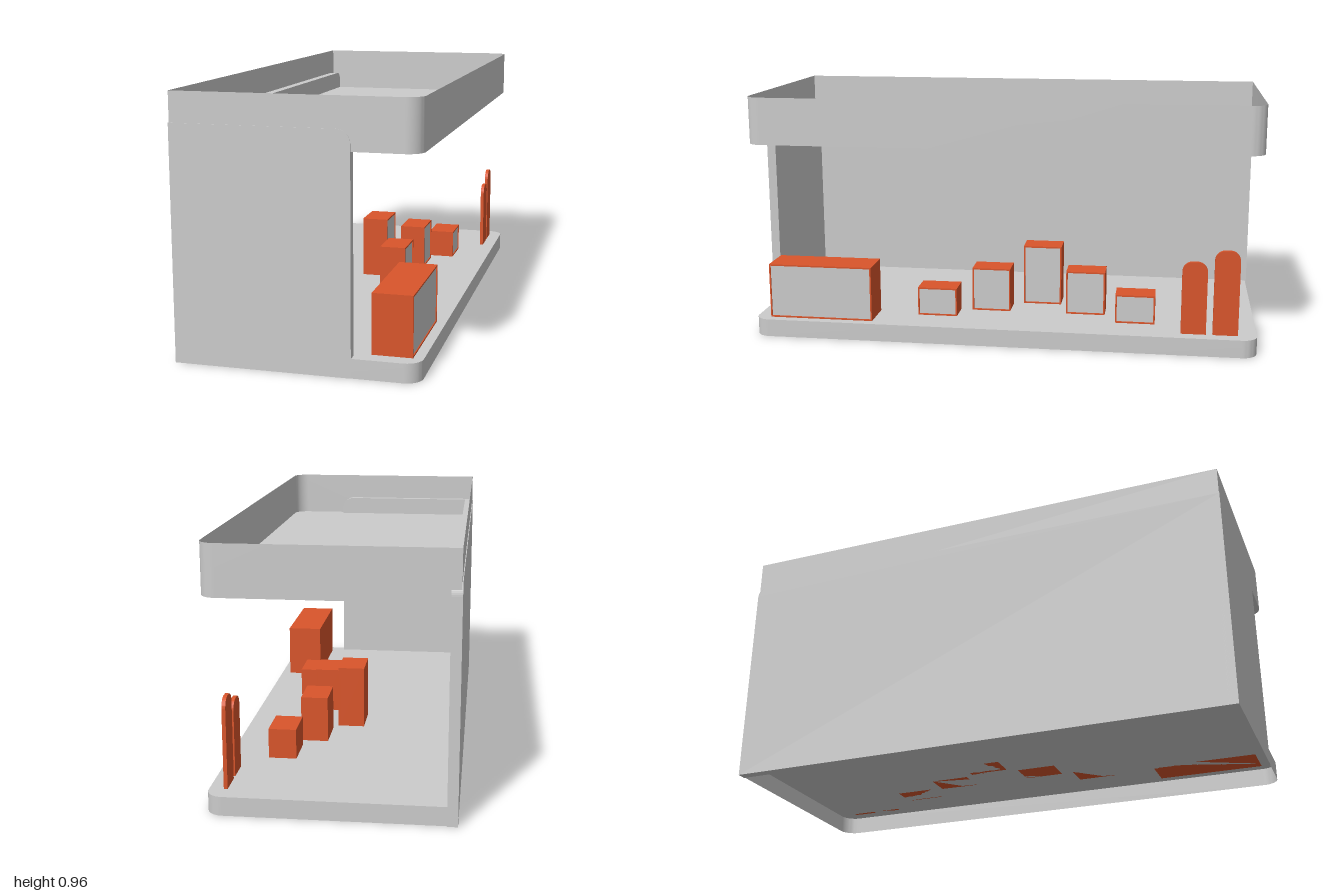
import * as THREE from 'three';
import { toCreasedNormals } from 'three/addons/utils/BufferGeometryUtils.js';

const grey = new THREE.MeshStandardMaterial({ color: 0xcccccc });
const sheet = new THREE.MeshStandardMaterial({ color: 0xcccccc, side: THREE.DoubleSide });
const orange = new THREE.MeshStandardMaterial({ color: 0xd9552b });

const FLOOR = 0.07, ROOF = 0.78, TOP = 0.965, PANEL_TOP = 0.855;

function add(parent, name, geometry, material) {
  const mesh = new THREE.Mesh(geometry, material);
  mesh.name = name;
  parent.add(mesh);
  return mesh;
}

// Rectangle from (a0, b0) to (a1, b1); radii for the corners in the order
// low-low, high-low, high-high, low-high
function rectShape(a0, b0, a1, b1, [r0, r1, r2, r3] = [0, 0, 0, 0]) {
  const s = new THREE.Shape();
  s.moveTo(a0 + r0, b0);
  s.lineTo(a1 - r1, b0);
  if (r1) s.absarc(a1 - r1, b0 + r1, r1, -Math.PI / 2, 0);
  s.lineTo(a1, b1 - r2);
  if (r2) s.absarc(a1 - r2, b1 - r2, r2, 0, Math.PI / 2);
  s.lineTo(a0 + r3, b1);
  if (r3) s.absarc(a0 + r3, b1 - r3, r3, Math.PI / 2, Math.PI);
  s.lineTo(a0, b0 + r0);
  if (r0) s.absarc(a0 + r0, b0 + r0, r0, Math.PI, Math.PI * 1.5);
  return s;
}

const extrude = (shape, depth) =>
  new THREE.ExtrudeGeometry(shape, { depth, bevelEnabled: false, curveSegments: 6 });

// Shape drawn in (z, y), extruded so that it spans x0..x1
const extrudeX = (shape, x0, x1) =>
  extrude(shape, x1 - x0).rotateY(-Math.PI / 2).translate(x1, 0, 0);

// Thin sheet at height ySheet with a thin wall round it from y0 to y1
function tray(name, ySheet, y0, y1) {
  const group = new THREE.Group();
  group.name = name;
  const outline = rectShape(-0.44, -0.998, 0.44, 0.995, [0, 0.06, 0.06, 0]);
  const plate = new THREE.ShapeGeometry(outline, 6).rotateX(-Math.PI / 2).translate(0, ySheet, 0);
  add(group, name + 'Plate', plate, sheet);

  const pts = outline.getPoints(6);
  const pos = [];
  pts.forEach((p, i) => {
    const q = pts[(i + 1) % pts.length];
    if (p.distanceTo(q) < 1e-6) return;
    const a = [p.x, y0, -p.y], b = [q.x, y0, -q.y];
    const c = [q.x, y1, -q.y], d = [p.x, y1, -p.y];
    pos.push(...a, ...b, ...c, ...a, ...c, ...d);
  });
  const wall = new THREE.BufferGeometry();
  wall.setAttribute('position', new THREE.Float32BufferAttribute(pos, 3));
  wall.computeVertexNormals();
  add(group, name + 'Rim', toCreasedNormals(wall, 0.5), sheet);
  return group;
}

// Orange block with a framed grey screen on its +x side
function displayBlock(x0, x1, z0, z1, top) {
  const group = new THREE.Group();
  group.name = 'displayBlock';
  const lip = 0.008, t = 0.006, h = top - FLOOR;
  const body = new THREE.BoxGeometry(x1 - x0 - lip, h, z1 - z0);
  body.translate((x0 + x1 - lip) / 2, FLOOR + h / 2, (z0 + z1) / 2);
  add(group, 'blockBody', body, orange);

  const frame = rectShape(z0, FLOOR, z1, top);
  frame.holes.push(rectShape(z0 + t, FLOOR + t, z1 - t, top - t));
  add(group, 'blockFrame', extrudeX(frame, x1 - lip, x1), orange);

  const screen = rectShape(z0 + t, FLOOR + t, z1 - t, top - t);
  add(group, 'blockScreen', extrudeX(screen, x1 - lip, x1 - lip / 2), grey);
  return group;
}

export function createModel() {
  const model = new THREE.Group();
  model.name = 'exhibitionStand';

  // Floor with a skirt below, roof with a parapet above
  model.add(tray('floor', FLOOR, 0, FLOOR));
  model.add(tray('roof', ROOF, ROOF, TOP));

  // Wall panels, reaching a little above the roof sheet
  const long = rectShape(-1, 0, 1, PANEL_TOP, [0, 0, 0, 0.05]);
  add(model, 'longWall', extrudeX(long, -0.443, -0.405), grey);
  const end = rectShape(-0.443, 0, 0.2, PANEL_TOP, [0, 0, 0.05, 0]);
  add(model, 'frontWall', extrude(end, 0.035).translate(0, 0, 0.965), grey);

  // Counter and an arc of five blocks: centre x, z range, top
  model.add(displayBlock(0.257, 0.403, 0.52, 0.94, 0.29));
  const blocks = [
    [0.24, 0.195, 0.355, 0.185],
    [0.143, -0.01, 0.147, 0.248],
    [0.02, -0.208, -0.05, 0.317],
    [0.143, -0.398, -0.24, 0.248],
    [0.235, -0.602, -0.445, 0.185],
  ];
  for (const [x, z0, z1, top] of blocks) {
    model.add(displayBlock(x - 0.053, x + 0.053, z0, z1, top));
  }

  // Two upright boards with rounded tops
  for (const [z0, z1, top] of [[-0.8, -0.703, 0.357], [-0.922, -0.825, 0.405]]) {
    const board = rectShape(z0, FLOOR, z1, top, [0, 0, 0.04, 0.04]);
    add(model, 'uprightBoard', toCreasedNormals(extrudeX(board, 0.374, 0.388), 0.5), orange);
  }

  return model;
}
